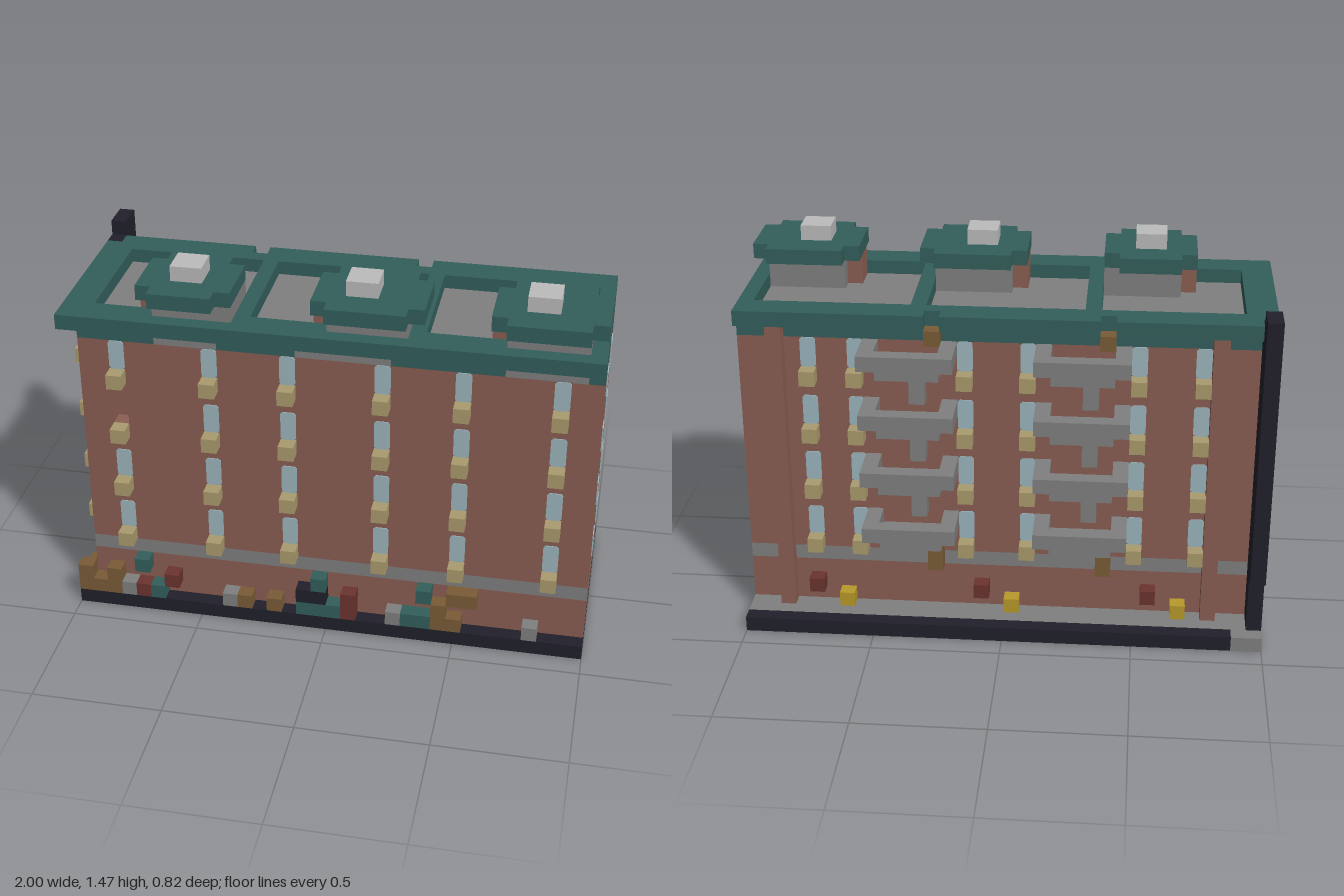
import * as THREE from 'three';

const U = 2 / 34; // one block

function mat(name, color) {
  const m = new THREE.MeshStandardMaterial({ color });
  m.name = name;
  return m;
}

export function createModel() {
  const root = new THREE.Group();
  root.name = 'apartmentBlock';
  const brick = mat('brick', 0x8b5f53), green = mat('green', 0x335f5c), grey = mat('grey', 0x808080);
  const light = mat('lightGrey', 0xbcbcbc), black = mat('black', 0x21202b), glass = mat('glass', 0x9db7bf);
  const tan = mat('tan', 0xab9c6e), brown = mat('brown', 0x7a5c36), red = mat('red', 0x6b3430);
  const yellow = mat('yellow', 0xb89a2a);

  // block given by its limits, in block units
  function box(name, m, x0, x1, y0, y1, z0, z1, parent = root) {
    const mesh = new THREE.Mesh(new THREE.BoxGeometry((x1 - x0) * U, (y1 - y0) * U, (z1 - z0) * U), m);
    mesh.position.set((x0 + x1) / 2 * U, (y0 + y1) / 2 * U, (z0 + z1) / 2 * U);
    mesh.name = name;
    parent.add(mesh);
    return mesh;
  }
  function group(name) {
    const g = new THREE.Group();
    g.name = name;
    root.add(g);
    return g;
  }
  function rectPath(P, x0, x1, y0, y1) {
    const p = new P();
    p.moveTo(x0, y0); p.lineTo(x1, y0); p.lineTo(x1, y1); p.lineTo(x0, y1); p.closePath();
    return p;
  }

  // base: floor, dark kerbs and the back pavement
  const base = group('base');
  box('floor', grey, -16, 16, 0, 1, -4, 6, base);
  box('pavement', grey, -17, 17, 0, 1, -6, -4, base);
  box('frontKerb', black, -17, 17, 0, 1, 6, 7, base);
  box('rightKerb', black, -17, -16, 0, 1, -4, 6, base);
  box('leftKerb', black, 16, 17, 0, 1, -4, 6, base);
  box('backKerb', black, -15, 17, 0, 1, -7, -6, base);
  box('kerbCorner', grey, -17, -15, 0, 1, -7, -6, base);

  // walls, the front layer has one bricked-up niche
  const walls = group('walls');
  box('lowerWall', brick, -16, 17, 1, 4, -4, 6, walls);
  box('stoneBand', grey, -16, 17, 4, 5, -4, 6, walls);
  box('upperWall', brick, -16, 17, 5, 20, -4, 5, walls);
  const face = rectPath(THREE.Shape, -16, 17, 5, 20);
  face.holes.push(rectPath(THREE.Path, -14, -13, 14, 16));
  const front = new THREE.Mesh(new THREE.ExtrudeGeometry(face, { depth: 1, bevelEnabled: false }), brick);
  front.scale.setScalar(U);
  front.position.z = 5 * U;
  front.name = 'frontWall';
  walls.add(front);
  for (const x of [-14, 14]) box('pilaster', brick, x, x + 1, 1, 21, -5, -4, walls);

  // windows with their ledges
  const windows = group('windows');
  const w = 0.5, c = 0.14;
  const paneShape = new THREE.Shape([[-w + c, 0], [w - c, 0], [w, c], [w, 2 - c], [w - c, 2], [-w + c, 2], [-w, 2 - c], [-w, c]]
    .map(([x, y]) => new THREE.Vector2(x * U, y * U)));
  const paneGeo = new THREE.ExtrudeGeometry(paneShape, { depth: 0.004, bevelEnabled: false });
  function pane(x, y, z, turn) {
    const m = new THREE.Mesh(paneGeo, glass);
    m.position.set(x * U, y * U, z * U);
    m.rotation.y = turn;
    m.name = 'windowPane';
    windows.add(m);
  }
  for (const y of [6, 10, 14, 18]) {
    for (const x of [-14, -8, -3, 3, 8, 14]) {
      if (x !== -14 || y !== 14) pane(x + 0.5, y, 6, 0);
      box('ledge', tan, x, x + 1, y - 1, y, 6, 7, windows);
    }
    for (const x of [12, 9, 2, -2, -9, -13]) {
      pane(x + 0.5, y, -4, Math.PI);
      box('ledge', tan, x, x + 1, y - 1, y, -5, -4, windows);
    }
    for (const z of [-1, 3]) {
      pane(17, y, z + 0.5, Math.PI / 2);
      pane(-16, y, z + 0.5, -Math.PI / 2);
      box('ledge', tan, -17, -16, y - 1, y, z, z + 1, windows);
    }
  }

  // back balconies: a floor with a stepped-out parapet, and ladders between
  for (const x of [-8, 3]) {
    const b = group('balconies');
    for (const y of [6, 10, 14, 18]) {
      box('balconyFloor', grey, x + 1, x + 5, y, y + 1, -6, -4, b);
      box('parapetFront', grey, x, x + 6, y + 1, y + 2, -7, -6, b);
      box('parapetSide', grey, x, x + 1, y + 1, y + 2, -6, -4, b);
      box('parapetSide', grey, x + 5, x + 6, y + 1, y + 2, -6, -4, b);
      if (y < 18) box('ladder', grey, x + 2, x + 3, y + 2, y + 4, -5, -4, b);
    }
    box('roofHatch', brown, x + 1, x + 2, 20, 21, -5, -4, b);
    box('backDoor', brown, x + 1, x + 2, 4, 6, -5, -4, b);
  }
  for (const x of [12, 1, -10]) {
    box('alarmBox', red, x, x + 1, 2, 3, -5, -4);
    box('backLamp', yellow, x - 2, x - 1, 1, 2, -5, -4);
  }

  // dark chimney stack on the back corner
  const stack = group('chimneyStack');
  box('stackUpper', black, -17, -16, 5, 23, -7, -5, stack);
  box('stackFoot', black, -17, -16, 1, 5, -6, -5, stack);
  box('stackInner', black, -17, -16, 1, 22, -5, -4, stack);

  // roof, frieze and overhanging cornice
  const roof = group('roof');
  box('frieze', green, -16, 17, 20, 21, -4, 6, roof);
  for (const [a, b] of [[-11, -7], [-2, 4], [11, 16]]) {
    box('friezePanel', grey, a, b, 20.02, 21, 5.9, 6.05, roof);
  }
  for (const [a, b] of [[-15, -6], [-5, 5], [6, 16]]) box('roofFloor', grey, a, b, 21, 21.08, -3, 5, roof);
  box('corniceFront', green, -17, 17, 21, 22, 5, 7, roof);
  box('corniceBack', green, -17, 17, 21, 22, -4, -3, roof);
  for (const [a, b] of [[-16, -7], [-6, 4], [5, 17]]) box('corniceBackLip', green, a, b, 21, 22, -5, -4, roof);
  for (const [a, b] of [[-17, -15], [-6, -5], [5, 6], [16, 17]]) box('corniceRib', green, a, b, 21, 22, -3, 5, roof);

  // rooftop huts
  for (const [x, x1, core] of [[-12, -6, -6], [-1, 6, 5], [10, 17, 16]]) {
    const h = group('rooftopHut');
    box('hutWall', grey, x + 1, core, 21, 23, 2, 6, h);
    box('hutBrick', brick, x, x + 1, 21, 23, 3, 5, h);
    box('hutRoof', green, x, x1, 23, 24, 2, 6, h);
    box('hutRoofBack', green, x + 1, x1 - 1, 23, 24, 1, 2, h);
    box('hutRoofFront', green, x + 1, x1 - 1, 23, 24, 6, 7, h);
    box('hutVent', light, x + 2, x + 4, 24, 25, 3, 5, h);
  }

  // street clutter along the front: x0, x1, y0, y1
  const clutter = group('streetClutter');
  const rows = [
    [brown, [[-17, -16, 1, 3], [-16, -14, 1, 2], [-15, -14, 2, 3], [-6, -5, 1, 2], [-4, -3, 1, 2],
      [7, 9, 1, 2], [7, 8, 2, 3], [8, 10, 3, 4]]],
    [grey, [[-14, -13, 1, 2], [-7, -6, 1, 2], [4, 5, 1, 2], [13, 14, 1, 2]]],
    [green, [[-12, -11, 1, 2], [-13, -12, 3, 4], [-2, 1, 1, 2], [-1, 0, 3, 4], [5, 7, 1, 2], [6, 7, 3, 4]]],
    [red, [[-13, -12, 1, 2], [-11, -10, 2, 3], [1, 2, 1, 3]]],
    [black, [[-2, 0, 2, 3]]],
  ];
  for (const [m, list] of rows) for (const [a, b, y0, y1] of list) box('crate', m, a, b, y0, y1, 6, 7, clutter);
  // clutter along the side: z0, z1, y1
  for (const [m, a, b, top] of [[red, -3, -2, 2], [brown, -1, 1, 2], [green, 2, 3, 2], [red, 1, 2, 2], [brown, 4, 6, 2]]) {
    box('sideCrate', m, -17, -16, 1, top, a, b, clutter);
  }
  return root;
}
